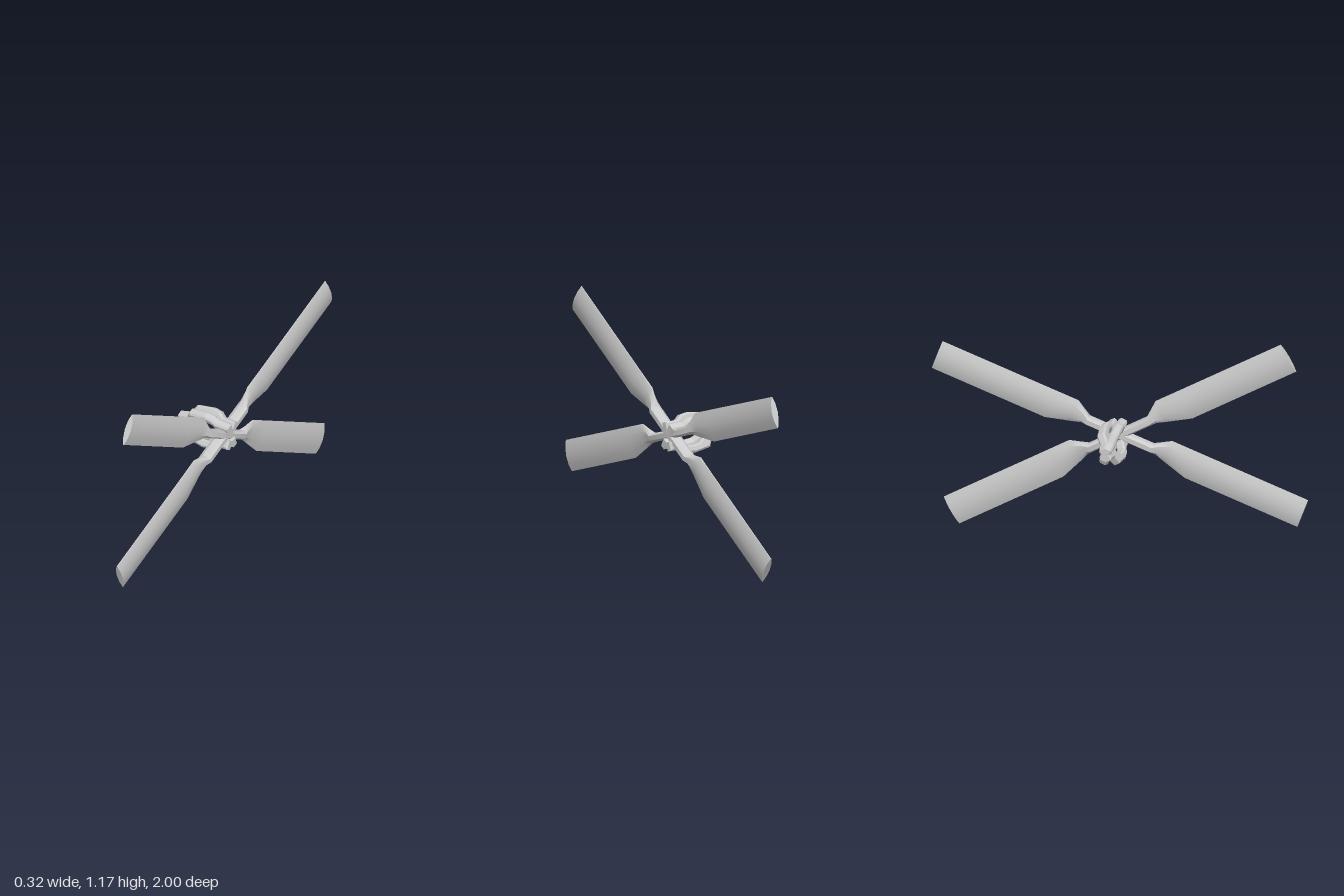
import * as THREE from 'three';
import { toCreasedNormals } from 'three/addons/utils/BufferGeometryUtils.js';

const material = new THREE.MeshStandardMaterial({ color: 0xcccccc });
const rad = THREE.MathUtils.degToRad;

// Blade lofted along +z: octagon-like root flowing into a thin lens section
function bladeGeometry() {
  // distance, lower edge, upper edge, half thickness, shoulder and edge fullness
  const stations = [
    [0, -0.023, 0.023, 0.032, 1, 0.45],
    [0.18, -0.023, 0.023, 0.032, 1, 0.45],
    [0.21, -0.025, 0.045, 0.023, 0.9, 0.3],
    [0.265, -0.044, 0.082, 0.019, 0.8, 0.15],
    [0.395, -0.083, 0.082, 0.0185, 0.75, 0.1],
    [1.032, -0.083, 0.082, 0.0185, 0.75, 0.1],
  ];
  const across = [-1, -0.55, 0, 0.55, 1];
  const positions = [], index = [], n = 10;
  for (const [u, lo, hi, t, shoulder, edge] of stations) {
    const depth = [edge, shoulder, 1, shoulder, edge];
    for (let i = 0; i < n; i++) {
      const k = i < 5 ? i : 9 - i;
      const v = (lo + hi) / 2 + across[k] * (hi - lo) / 2;
      positions.push((i < 5 ? 1 : -1) * depth[k] * t, v, u);
    }
  }
  for (let s = 0; s < stations.length - 1; s++) {
    for (let i = 0; i < n; i++) {
      const a = s * n + i, b = s * n + (i + 1) % n;
      index.push(a, b, b + n, a, b + n, a + n);
    }
  }
  // Tip cap
  const tip = (stations.length - 1) * n;
  for (let i = 1; i < n - 1; i++) index.push(tip, tip + i, tip + i + 1);
  const g = new THREE.BufferGeometry();
  g.setAttribute('position', new THREE.Float32BufferAttribute(positions, 3));
  g.setIndex(index);
  return toCreasedNormals(g, 0.5);
}

// Bowed clamp arm: side profile (x, radius) with bevelled edges
function armGeometry() {
  const profile = [
    [-0.163, 0], [-0.05, 0], [-0.05, 0.035], [-0.02, 0.06], [0.02, 0.066],
    [0.055, 0.06], [0.082, 0.028], [0.16, 0.028], [0.16, 0.076], [0.087, 0.078],
    [0.06, 0.1], [0.015, 0.107], [-0.08, 0.092], [-0.102, 0.048], [-0.163, 0.034],
  ];
  const shape = new THREE.Shape(profile.map(([x, r]) => new THREE.Vector2(x, r)));
  const g = new THREE.ExtrudeGeometry(shape, {
    depth: 0.03, bevelEnabled: true, bevelThickness: 0.009,
    bevelSize: 0.009, bevelOffset: -0.009, bevelSegments: 1,
  });
  g.translate(0, 0, -0.015);
  return toCreasedNormals(g, 0.3);
}

export function createModel() {
  const model = new THREE.Group();
  model.name = 'rotor';

  // Four blades forming a shallow cross
  const blade = bladeGeometry();
  for (const [side, angle] of [[1, 30], [1, -20], [-1, 20], [-1, -30]]) {
    const mesh = new THREE.Mesh(blade, material);
    mesh.name = 'blade';
    mesh.position.set(0.116, 0.588, 0.005);
    mesh.scale.z = side;
    mesh.rotation.x = -side * rad(angle);
    model.add(mesh);
  }

  // Clamp arms, each pair square to one pair of blades
  const arm = armGeometry();
  for (const angle of [-30, 150, 20, 200]) {
    const mesh = new THREE.Mesh(arm, material);
    mesh.name = 'clampArm';
    mesh.position.set(0, 0.583, -0.01);
    mesh.rotation.x = rad(angle);
    model.add(mesh);
  }
  return model;
}
